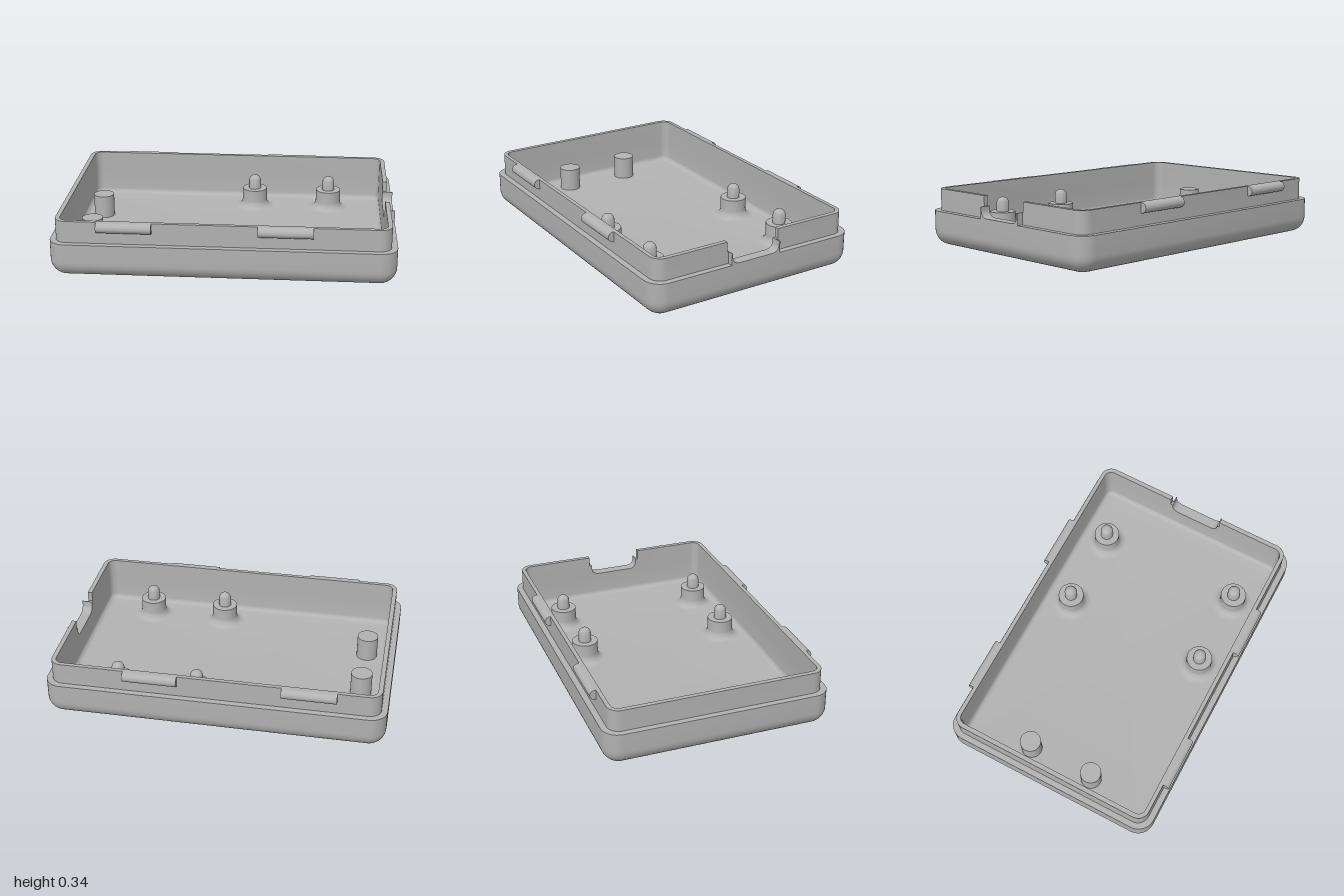
import * as THREE from 'three';
import { toCreasedNormals } from 'three/addons/utils/BufferGeometryUtils.js';

const RIM = { x: 0.965, z: 0.636, r: 0.07 };      // outer face of the raised lip
const INNER = { x: 0.938, z: 0.612, r: 0.045 };   // cavity wall
const LEDGE = 0.21, TOP = 0.34, FLOOR = 0.06;
const NOTCH = [-0.18, 0.162];                     // port opening, measured along -z

const smooth = (g) => toCreasedNormals(g, 0.6);

// Rounded rectangle points, counter-clockwise in (x, -z)
function roundedRect(hx, hz, r, steps = 8) {
  const pts = [];
  [[1, 1], [-1, 1], [-1, -1], [1, -1]].forEach(([sx, sy], c) => {
    for (let i = 0; i <= steps; i++) {
      const a = (c + i / steps) * Math.PI / 2;
      pts.push(new THREE.Vector2(sx * (hx - r) + r * Math.cos(a), sy * (hz - r) + r * Math.sin(a)));
    }
  });
  return pts;
}

// Skin through a list of rounded rectangles [hx, hz, r, y]
function loft(rings) {
  const pos = [], index = [];
  let n = 0;
  for (const [hx, hz, r, y] of rings) {
    const pts = roundedRect(hx, hz, r);
    n = pts.length;
    for (const p of pts) pos.push(p.x, y, -p.y);
  }
  for (let i = 0; i < rings.length - 1; i++) {
    for (let j = 0; j < n; j++) {
      const a = i * n + j, b = i * n + (j + 1) % n;
      index.push(a, b, b + n, a, b + n, a + n);
    }
  }
  const g = new THREE.BufferGeometry();
  g.setAttribute('position', new THREE.Float32BufferAttribute(pos, 3));
  g.setIndex(index);
  return smooth(g);
}

const extrude = (shape, depth) =>
  smooth(new THREE.ExtrudeGeometry(shape, { depth, bevelEnabled: false, curveSegments: 12 }));

export function createModel() {
  const group = new THREE.Group();
  const plastic = new THREE.MeshStandardMaterial({ color: 0xb2b2b2 });
  plastic.name = 'grey plastic';
  const add = (name, geometry, x = 0, y = 0, z = 0) => {
    const mesh = new THREE.Mesh(geometry, plastic);
    mesh.name = name;
    mesh.position.set(x, y, z);
    group.add(mesh);
    return mesh;
  };

  // Tray: rounded underside, outer wall, ledge, cavity wall, filleted floor
  const rings = [[0, 0, 0, 0]];
  const R = 0.095, F = 0.03;
  for (let i = 0; i <= 10; i++) {
    const a = i / 10 * Math.PI / 2, inset = R * (1 - Math.sin(a));
    rings.push([1 - inset, 0.672 - inset, 0.1 - inset, R * (1 - Math.cos(a))]);
  }
  rings.push([1, 0.672, 0.1, LEDGE], [INNER.x, INNER.z, INNER.r, LEDGE]);
  for (let i = 0; i <= 6; i++) {
    const a = i / 6 * Math.PI / 2, inset = F * (1 - Math.cos(a));
    rings.push([INNER.x - inset, INNER.z - inset, INNER.r - inset, FLOOR + F * (1 - Math.sin(a))]);
  }
  rings.push([0, 0, 0, FLOOR]);
  add('tray', loft(rings));

  // Raised lip, open at the port on the +x side
  const V = (x, y) => new THREE.Vector2(x, y);
  const outer = roundedRect(RIM.x, RIM.z, RIM.r);
  const inner = roundedRect(INNER.x, INNER.z, INNER.r).reverse();
  const lip = new THREE.Shape([
    V(RIM.x, NOTCH[1]), ...outer, V(RIM.x, NOTCH[0]),
    V(INNER.x, NOTCH[0]), ...inner, V(INNER.x, NOTCH[1]),
  ]);
  add('lip', extrude(lip, TOP - LEDGE), 0, LEDGE, 0).rotation.x = -Math.PI / 2;

  // Port surround: U-shaped cut with rounded lower corners
  const port = (name, u0, u1, x0, x1) => {
    const s = new THREE.Shape();
    const a = -0.166, b = 0.147, bottom = 0.216, top = 0.28, r = 0.05;
    s.moveTo(u0, 0.205);
    s.lineTo(u1, 0.205);
    s.lineTo(u1, top);
    s.lineTo(b, top);
    s.lineTo(b, bottom + r);
    s.quadraticCurveTo(b, bottom, b - r, bottom);
    s.lineTo(a + r, bottom);
    s.quadraticCurveTo(a, bottom, a, bottom + r);
    s.lineTo(a, top);
    s.lineTo(u0, top);
    s.closePath();
    add(name, extrude(s, x1 - x0), x0).rotation.y = Math.PI / 2;
  };
  port('portWall', NOTCH[0], NOTCH[1], INNER.x, RIM.x);
  port('portCollar', -0.171, 0.154, RIM.x, 1);

  // Half-round snap ridges on the front and back of the lip
  const ridge = new THREE.Shape();
  ridge.moveTo(0.62, 0.28);
  ridge.lineTo(0.642, 0.28);
  ridge.absarc(0.642, 0.31, 0.03, -Math.PI / 2, Math.PI / 2, false);
  ridge.lineTo(0.62, TOP);
  ridge.closePath();
  const ridgeGeometry = extrude(ridge, 0.317).translate(0, 0, -0.1585);
  for (const x of [-0.558, 0.363]) {
    add('backSnapRidge', ridgeGeometry, x).rotation.y = Math.PI / 2;
    add('frontSnapRidge', ridgeGeometry, x).rotation.y = -Math.PI / 2;
  }

  // Mounting posts: flared foot, shoulder and domed pin
  const profile = [];
  for (let i = 0; i <= 8; i++) {
    const a = i / 8 * Math.PI / 2;
    profile.push(V(0.125 - 0.047 * Math.sin(a), FLOOR + 0.047 * (1 - Math.cos(a))));
  }
  profile.push(V(0.078, 0.18), V(0.038, 0.18), V(0.038, 0.23));
  for (let i = 1; i <= 6; i++) {
    const a = i / 6 * Math.PI / 2;
    profile.push(V(i === 6 ? 0 : 0.038 * Math.cos(a), 0.23 + 0.038 * Math.sin(a)));
  }
  const postGeometry = smooth(new THREE.LatheGeometry(profile, 32));
  for (const x of [0.13, 0.605])
    for (const z of [-0.445, 0.455]) add('mountingPost', postGeometry, x, 0, z);

  // Plain support pegs
  const peg = new THREE.CylinderGeometry(0.063, 0.063, 0.14, 32);
  for (const z of [-0.2, 0.21]) add('supportPeg', peg, -0.82, FLOOR + 0.07, z);

  return group;
}
